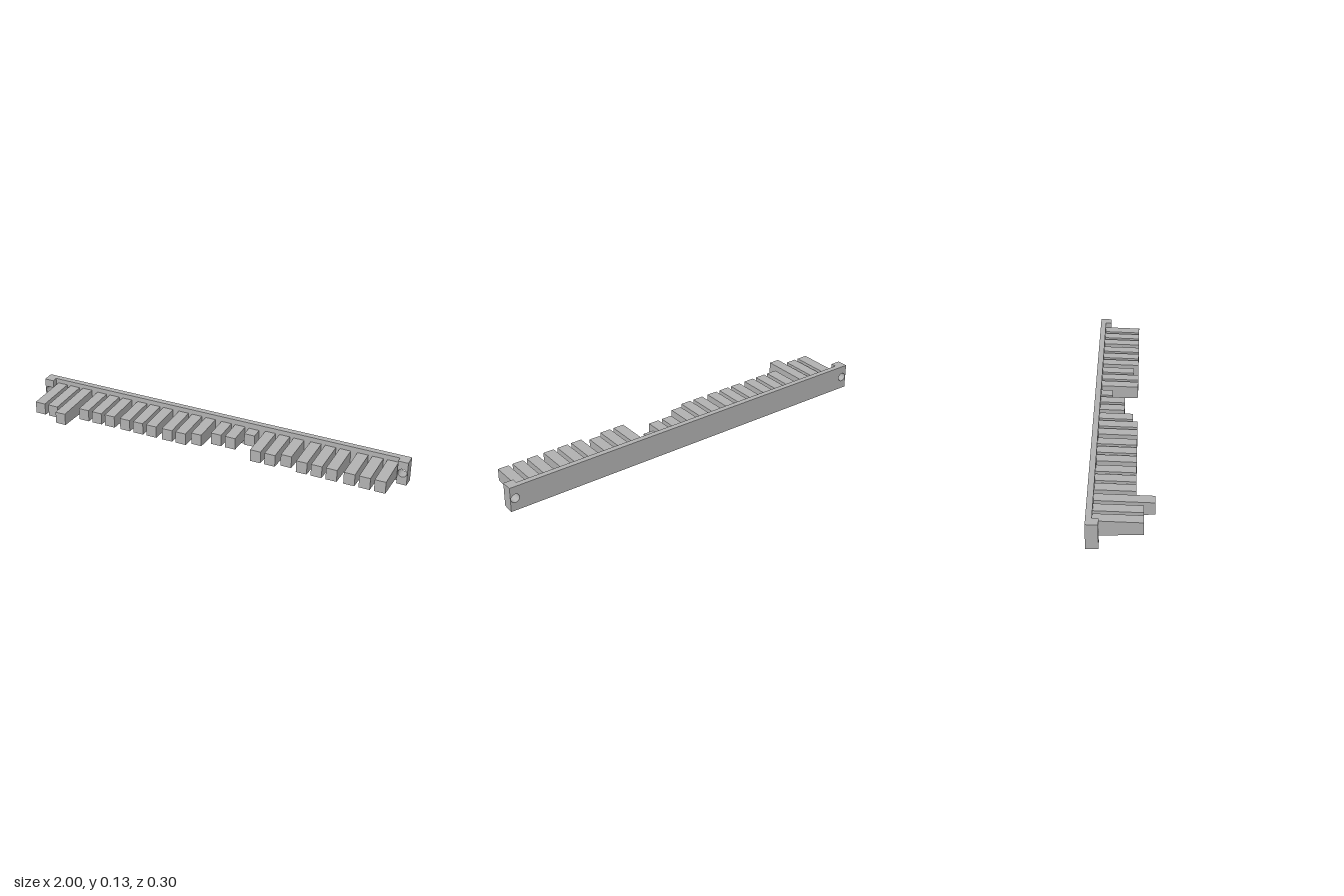
import * as THREE from 'three';
import { toCreasedNormals } from 'three/addons/utils/BufferGeometryUtils.js';

const MID_Y = 0.064;
const BACK = -0.15, PLATE_FRONT = -0.122, END_FRONT = -0.093;
const DRAFT = 0.036; // height lost per unit of depth, above and below

// Shrinks a geometry's height towards the front; halfBack is its half height at zBack
function taper(geo, zBack, halfBack) {
  const p = geo.attributes.position;
  for (let i = 0; i < p.count; i++) {
    const k = 1 - (DRAFT * (p.getZ(i) - zBack)) / halfBack;
    p.setY(i, MID_Y + (p.getY(i) - MID_Y) * k);
  }
  return toCreasedNormals(geo, 0.5);
}

// Box from zBack to zFront with drafted top and bottom
function draftedBox(x, width, zBack, zFront, halfBack) {
  const geo = new THREE.BoxGeometry(width, halfBack * 2, zFront - zBack);
  geo.translate(x, MID_Y, (zBack + zFront) / 2);
  return taper(geo, zBack, halfBack);
}

export function createModel() {
  const model = new THREE.Group();
  const grey = new THREE.MeshStandardMaterial({ color: 0xb0b0b0 });
  grey.name = 'grey';
  const add = (name, geo) => {
    const mesh = new THREE.Mesh(geo, grey);
    mesh.name = name;
    model.add(mesh);
  };

  // Long back plate between the two mounting ends
  const plateHalf = 0.0635;
  add('backPlate', draftedBox(0, 1.9, BACK, PLATE_FRONT, plateHalf));

  // Thicker mounting ends, each with a round screw hole right through
  for (const side of [-1, 1]) {
    const cx = side * 0.975;
    const shape = new THREE.Shape();
    shape.moveTo(cx - 0.025, MID_Y - plateHalf);
    shape.lineTo(cx + 0.025, MID_Y - plateHalf);
    shape.lineTo(cx + 0.025, MID_Y + plateHalf);
    shape.lineTo(cx - 0.025, MID_Y + plateHalf);
    shape.closePath();
    const hole = new THREE.Path();
    hole.absarc(cx, MID_Y + 0.001, 0.022, 0, Math.PI * 2, true);
    shape.holes.push(hole);
    const geo = new THREE.ExtrudeGeometry(shape, {
      depth: END_FRONT - BACK, bevelEnabled: false, curveSegments: 12,
    });
    geo.translate(0, 0, BACK);
    add(side > 0 ? 'leftMountingEnd' : 'rightMountingEnd', taper(geo, BACK, plateHalf));
  }

  // Teeth in groups of three; each number is the z of a tooth's front face
  const groups = [
    [0.1, 0.1, 0.15],
    [0.065, 0.065, 0.065],
    [0.065, 0.065, 0.065],
    [0.065, 0.065, 0.042],
    [0, 0, -0.065],
    [0.065, 0.065, 0.042],
    [0.065, 0.065, 0.065],
    [0.065, 0.065, 0.065],
  ];
  groups.forEach((fronts, g) => fronts.forEach((front, i) => {
    const x = -0.834 + g * 0.2395 + (i - 1) * 0.0755;
    const halfBack = 0.031 + DRAFT * (front - PLATE_FRONT);
    add(`tooth${g * 3 + i + 1}`, draftedBox(x, 0.055, PLATE_FRONT, front, halfBack));
  }));

  return model;
}
